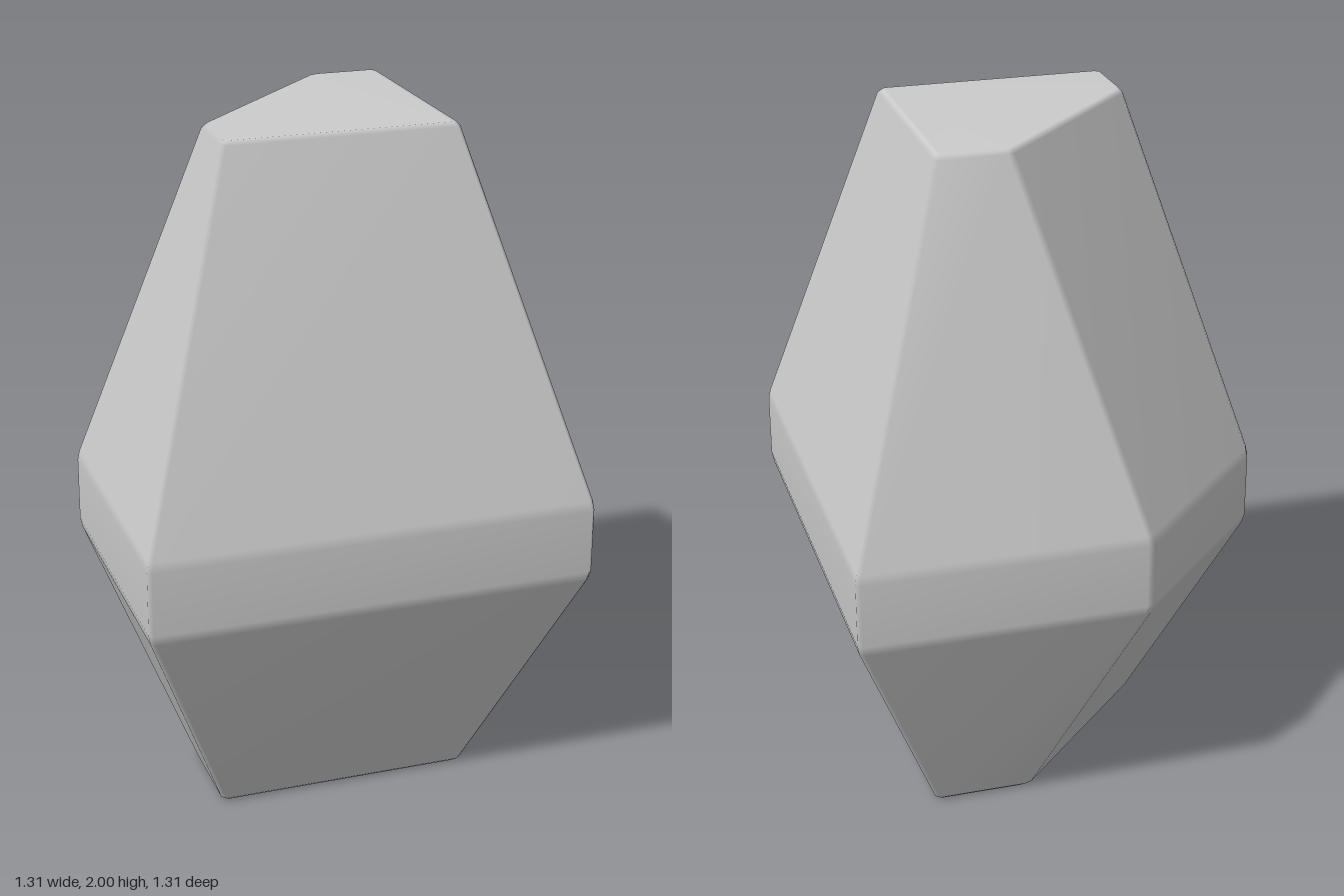
import * as THREE from 'three';

const CUT = 0.47;    // size of the sliced-off back right corner
const BEVEL = 0.012; // softening of the upright edges

// Square outline with one sliced corner; every corner is split in two for a narrow bevel
function outline(h) {
  const corners = [[h, h], [h, -h], [CUT - h, -h], [-h, CUT - h], [-h, h]]
    .map(([x, z]) => new THREE.Vector2(x, z));
  const n = corners.length;
  return corners.flatMap((p, i) =>
    [corners[(i + n - 1) % n], corners[(i + 1) % n]].map((q) =>
      p.clone().add(q.clone().sub(p).setLength(BEVEL))));
}

export function createModel() {
  // Height and half width of each level: narrow foot, wide belt, tapered crown
  const levels = [
    [0, 0.367], [0.012, 0.381], [0.7, 0.651], [0.73, 0.657],
    [0.92, 0.657], [0.95, 0.652], [1.988, 0.343], [2, 0.332],
  ];
  const positions = [];
  const indices = [];
  const n = outline(1).length;
  for (const [y, h] of levels) {
    for (const p of outline(h)) positions.push(p.x, y, p.y);
  }

  // Sides between neighbouring levels
  for (let l = 0; l < levels.length - 1; l++) {
    for (let i = 0; i < n; i++) {
      const a = l * n + i;
      const b = l * n + ((i + 1) % n);
      indices.push(a, b, b + n, a, b + n, a + n);
    }
  }

  // Flat bottom and top
  const top = (levels.length - 1) * n;
  for (let i = 1; i < n - 1; i++) {
    indices.push(0, i + 1, i);
    indices.push(top, top + i, top + i + 1);
  }

  // Area-weighted normals keep the facets flat and the narrow bevels soft
  const geometry = new THREE.BufferGeometry();
  geometry.setAttribute('position', new THREE.Float32BufferAttribute(positions, 3));
  geometry.setIndex(indices);
  geometry.computeVertexNormals();

  const stone = new THREE.Mesh(geometry, new THREE.MeshStandardMaterial({ color: 0xcccccc }));
  stone.name = 'facetedStone';
  const group = new THREE.Group();
  group.name = 'stone';
  group.add(stone);
  return group;
}
